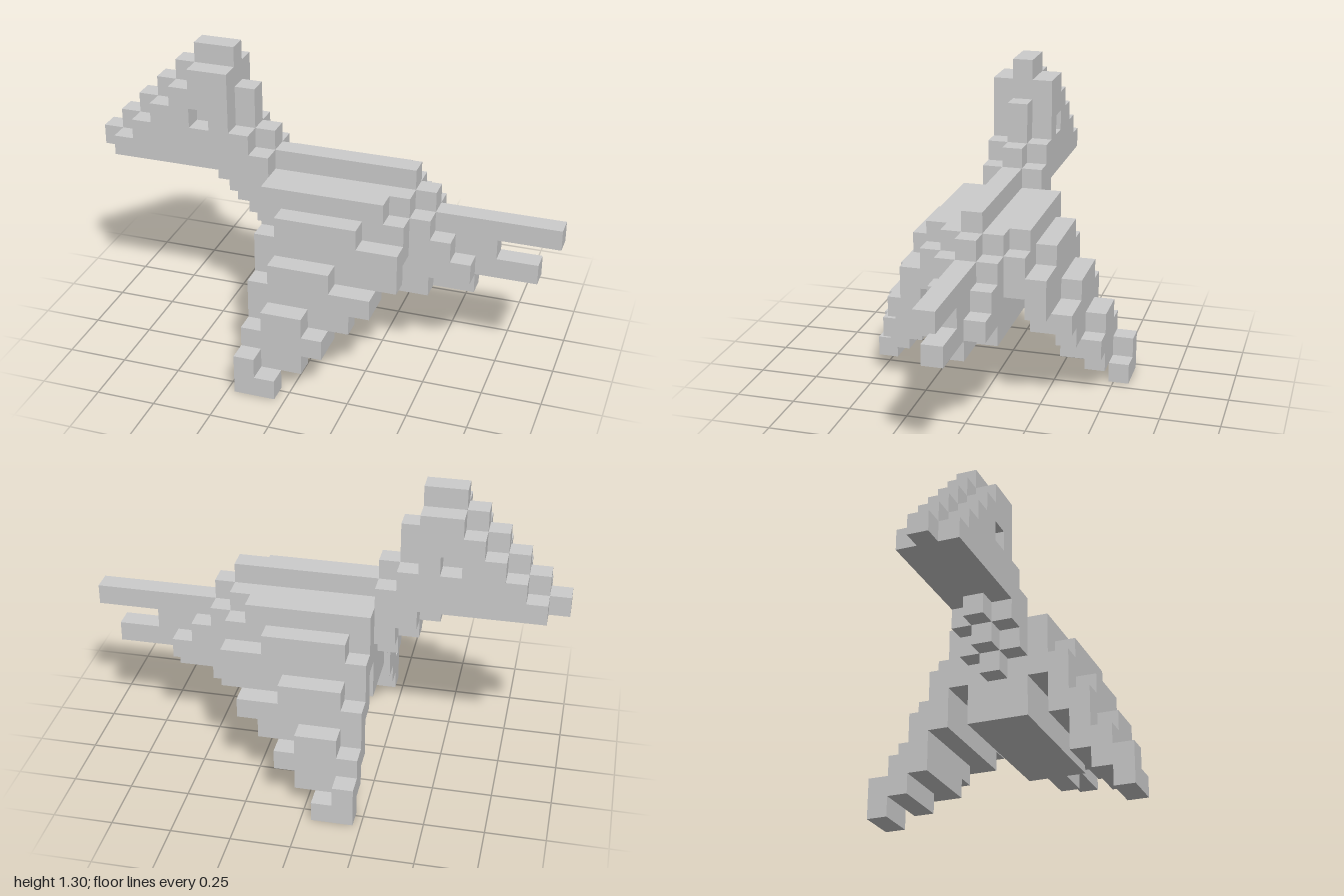
import * as THREE from 'three';

const U = 2 / 23; // edge of one block
const material = new THREE.MeshStandardMaterial({ color: 0xcccccc, flatShading: true });

// One upright slab of blocks. rows: [first, last] column of each row, from startRow up.
// layer: sideways block position; thick: slab thickness in blocks; hole: [column, row].
function slab(name, startRow, rows, layer = 0, thick = 1, hole = null) {
  const X = c => c * U - 1;
  const right = [], left = [];
  rows.forEach(([a, b], i) => {
    for (const r of [startRow + i, startRow + i + 1]) {
      right.push(new THREE.Vector2(X(b + 1), r * U));
      left.unshift(new THREE.Vector2(X(a), r * U));
    }
  });
  const pts = [...right, ...left];
  const shape = new THREE.Shape(pts.filter((p, i) => !p.equals(pts[(i + 1) % pts.length])));
  if (hole) {
    const [c, r] = hole;
    shape.holes.push(new THREE.Path([[c, r], [c, r + 1], [c + 1, r + 1], [c + 1, r]]
      .map(([x, y]) => new THREE.Vector2(X(x), y * U))));
  }
  const geometry = new THREE.ExtrudeGeometry(shape, { depth: thick * U, bevelEnabled: false });
  geometry.translate(0, 0, (layer - thick / 2) * U);
  const mesh = new THREE.Mesh(geometry, material);
  mesh.name = name;
  return mesh;
}

function part(name, ...meshes) {
  const group = new THREE.Group();
  group.name = name;
  group.add(...meshes);
  return group;
}

export function createModel() {
  const model = new THREE.Group();
  model.name = 'blockBird';
  const sides = [1, -1];

  // Head: crest and beak ridge in the middle, a cheek with an eye socket on each side
  model.add(part('head',
    slab('beakAndCrest', 9, [[0, 8], [1, 8], [2, 7], [3, 7], [4, 6], [5, 6]]),
    ...sides.map(s => slab('cheek', 9, [[1, 8], [2, 7], [3, 6], [4, 6], [5, 6]], s, 1, [5, 11]))));

  // Neck stepping down into the chest
  model.add(part('neck',
    slab('neckCore', 6, [[8, 8], [7, 8], [6, 8]]),
    ...sides.map(s => slab('neckSide', 7, [[8, 8], [7, 8]], s))));

  // Body with a raised spine and shoulders
  model.add(part('body',
    slab('trunk', 4, [[9, 15], [9, 15], [9, 15], [9, 15], [9, 15]], 0, 3),
    slab('spine', 9, [[9, 15]]),
    ...sides.map(s => slab('shoulder', 6, [[9, 15], [9, 15], [9, 14]], s * 2))));

  // Forked tail
  model.add(part('tail',
    slab('tailFeathers', 4, [[16, 18], [16, 21], [16, 19], [16, 22], [16, 16]]),
    ...sides.map(s => slab('tailSide', 4, [[16, 16], [16, 18], [16, 17], [16, 16]], s))));

  // Drooping wings: slabs stepping outward and down, as [layer, start row, rows]
  const wing = [
    [3, 4, [[9, 14], [9, 15], [9, 15], [10, 13]]],
    [4, 2, [[9, 12], [9, 13], [9, 14], [10, 12]]],
    [5, 1, [[9, 11], [9, 12], [10, 11]]],
    [6, 0, [[9, 10], [9, 9]]],
  ];
  for (const s of sides) {
    model.add(part(s > 0 ? 'frontWing' : 'backWing',
      ...wing.map(([layer, row, rows]) => slab('wingStep', row, rows, s * layer))));
  }
  return model;
}
